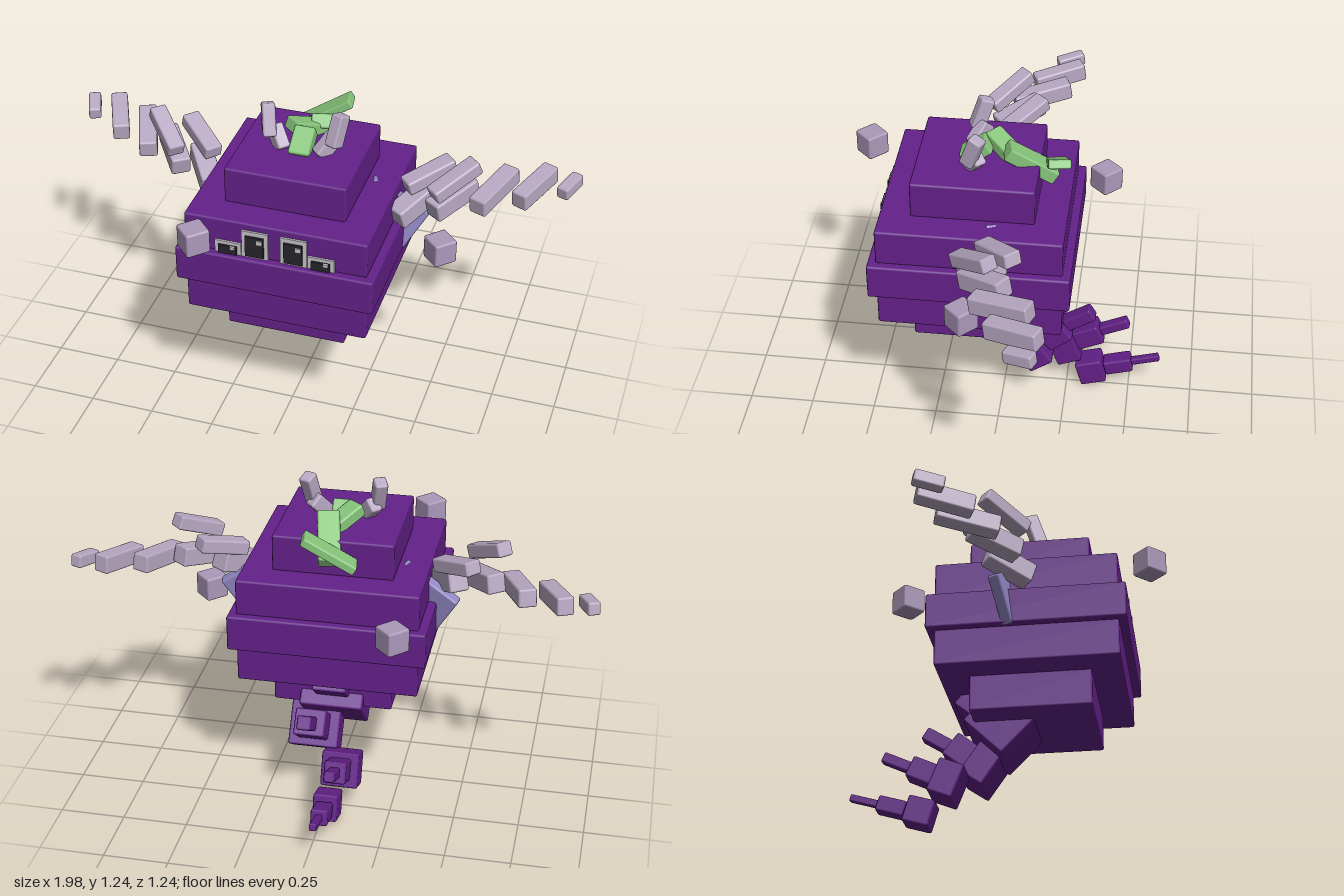
import * as THREE from 'three';
import { RoundedBoxGeometry } from 'three/addons/geometries/RoundedBoxGeometry.js';

const paint = (name, color) => {
  const m = new THREE.MeshStandardMaterial({ color });
  m.name = name;
  return m;
};

export function createModel() {
  const purple = paint('purple', 0x64218a);
  const lilac = paint('lilac', 0xb9aac4);
  const mauve = paint('mauve', 0xad99bb);
  const green = paint('leaf green', 0x88c67c);
  const blue = paint('periwinkle', 0x9188c4);
  const white = paint('eye grey', 0xc6c3c8);
  const dark = paint('pupil', 0x25252b);

  const root = new THREE.Group();
  root.name = 'blockCreature';
  const group = (name) => {
    const g = new THREE.Group();
    g.name = name;
    root.add(g);
    return g;
  };

  // Softly bevelled box
  const box = (parent, name, mat, size, pos) => {
    const r = Math.min(0.008, Math.min(...size) * 0.2);
    const m = new THREE.Mesh(new RoundedBoxGeometry(...size, 1, r), mat);
    m.name = name;
    m.position.set(...pos);
    parent.add(m);
    return m;
  };
  // Box running from point a to point b
  const beam = (parent, name, mat, a, b, w, h) => {
    const A = new THREE.Vector3(...a), B = new THREE.Vector3(...b);
    const mid = A.clone().add(B).multiplyScalar(0.5);
    const m = box(parent, name, mat, [w, h, A.distanceTo(B)], mid.toArray());
    m.lookAt(B);
    return m;
  };

  // Stacked body slabs: width, depth, bottom, top
  const body = group('body');
  [
    [0.46, 0.46, 0.387, 0.53],
    [0.69, 0.69, 0.527, 0.672],
    [0.75, 0.75, 0.668, 0.808],
    [0.69, 0.69, 0.805, 0.947],
    [0.46, 0.46, 0.944, 1.088],
  ].forEach(([w, d, y0, y1]) =>
    box(body, 'bodySlab', purple, [w, y1 - y0, d], [0, (y0 + y1) / 2, 0.096]));

  // Eyes: plates with pupils and a small glint
  const eyes = group('eyes');
  const plate = (name, mat, w, h, x, y, z) => {
    const m = new THREE.Mesh(new THREE.BoxGeometry(w, h, 0.008), mat);
    m.name = name;
    m.position.set(x, y, z);
    eyes.add(m);
  };
  for (const s of [1, -1]) {
    plate('innerEye', white, 0.1, 0.112, s * 0.073, 0.864, 0.445);
    plate('innerPupil', dark, 0.07, 0.085, s * 0.073, 0.86, 0.453);
    plate('innerGlint', white, 0.022, 0.018, s * 0.073 + 0.02, 0.885, 0.458);
    plate('outerEye', white, 0.1, 0.05, s * 0.176, 0.834, 0.445);
    plate('outerPupil', dark, 0.07, 0.035, s * 0.176, 0.828, 0.453);
    plate('outerGlint', white, 0.018, 0.012, s * 0.176 + 0.02, 0.84, 0.458);
  }

  // Three hovering cubes turned on their corners
  const cubes = group('floatingCubes');
  [[-0.264, 0.93, 0.556], [-0.267, 0.834, -0.364], [0.53, 0.74, 0.097]].forEach((p) => {
    box(cubes, 'floatingCube', mauve, [0.092, 0.094, 0.092], p).rotation.y = Math.PI / 4;
  });

  // Mirrored wings, shoulder plates and horns
  const feathers = [
    [[0.36, 0.855, 0.115], [0.46, 0.915, -0.03], 0.08, 0.08],
    [[0.49, 0.895, 0.09], [0.605, 0.94, -0.07], 0.075, 0.075],
    [[0.645, 0.91, 0.04], [0.73, 0.945, -0.175], 0.07, 0.07],
    [[0.785, 0.92, -0.03], [0.87, 0.95, -0.22], 0.065, 0.07],
    [[0.93, 0.93, -0.11], [0.972, 0.947, -0.212], 0.048, 0.05],
    [[0.375, 0.95, 0.04], [0.52, 1.005, -0.09], 0.07, 0.055],
    [[0.495, 0.98, 0.115], [0.625, 1.06, -0.02], 0.065, 0.055],
  ];
  for (const s of [1, -1]) {
    const mirror = ([x, y, z]) => [s * x, y, z];
    const side = s > 0 ? 'left' : 'right';
    const wing = group(side + 'Wing');
    feathers.forEach(([a, b, w, h]) =>
      beam(wing, 'feather', lilac, mirror(a), mirror(b), w, h));

    const shoulder = box(wing, 'shoulderPlate', blue, [0.25, 0.19, 0.045], [s * 0.31, 0.808, 0.025]);
    shoulder.rotation.set(-0.12, s * 0.22, -s * 0.53);

    const horn = group(side + 'Horn');
    beam(horn, 'hornBase', lilac, mirror([0.07, 1.08, 0.13]), mirror([0.118, 1.15, 0.085]), 0.05, 0.06);
    beam(horn, 'hornTip', lilac, mirror([0.122, 1.125, 0.125]), mirror([0.14, 1.242, 0.085]), 0.05, 0.055);
  }

  // Leafy tuft on the head
  const tuft = group('leafTuft');
  beam(tuft, 'frontLeaf', green, [0, 1.14, 0.06], [0, 1.075, 0.155], 0.08, 0.06);
  beam(tuft, 'middleLeaf', green, [0.03, 1.09, -0.05], [-0.06, 1.145, 0.06], 0.075, 0.05);
  beam(tuft, 'backLeaf', green, [0.04, 1.14, -0.01], [0, 1.02, -0.185], 0.085, 0.055);
  beam(tuft, 'longLeaf', green, [0.095, 1.128, -0.21], [-0.095, 1.01, -0.18], 0.085, 0.035);

  // Tail segments and spikes: x, y, z, width, height, length, direction (dy, dz)
  const tail = group('tail');
  const link = (name, x, y, z, w, h, len, dy, dz) => {
    const d = new THREE.Vector3(0, dy, dz).setLength(len / 2);
    beam(tail, name, purple, [x, y - d.y, z - d.z], [x, y + d.y, z + d.z], w, h);
  };
  link('tailRoot', 0.002, 0.397, -0.037, 0.245, 0.205, 0.188, -40, -39);
  link('tailSegment', 0.067, 0.277, -0.11, 0.195, 0.105, 0.182, -45, -31);
  link('tailSegment', -0.057, 0.17, -0.237, 0.145, 0.102, 0.137, -38, -15);
  link('tailSegment', -0.022, 0.067, -0.347, 0.096, 0.105, 0.105, 10, -34);
  link('spikeBase', 0.0, 0.5, -0.14, 0.13, 0.11, 0.12, 23, -28);
  link('spikeBase', 0.067, 0.332, -0.203, 0.12, 0.105, 0.11, 22, -28);
  link('spikeTip', 0.067, 0.393, -0.298, 0.055, 0.055, 0.125, 22, -35);
  link('spikeBase', -0.057, 0.213, -0.327, 0.085, 0.085, 0.115, 16, -35);
  link('spikeTip', -0.057, 0.262, -0.432, 0.042, 0.042, 0.12, 16, -35);
  link('spikeBase', -0.022, 0.097, -0.455, 0.065, 0.062, 0.112, 10, -34);
  link('spikeTip', -0.022, 0.129, -0.562, 0.028, 0.028, 0.115, 10, -34);

  return root;
}
